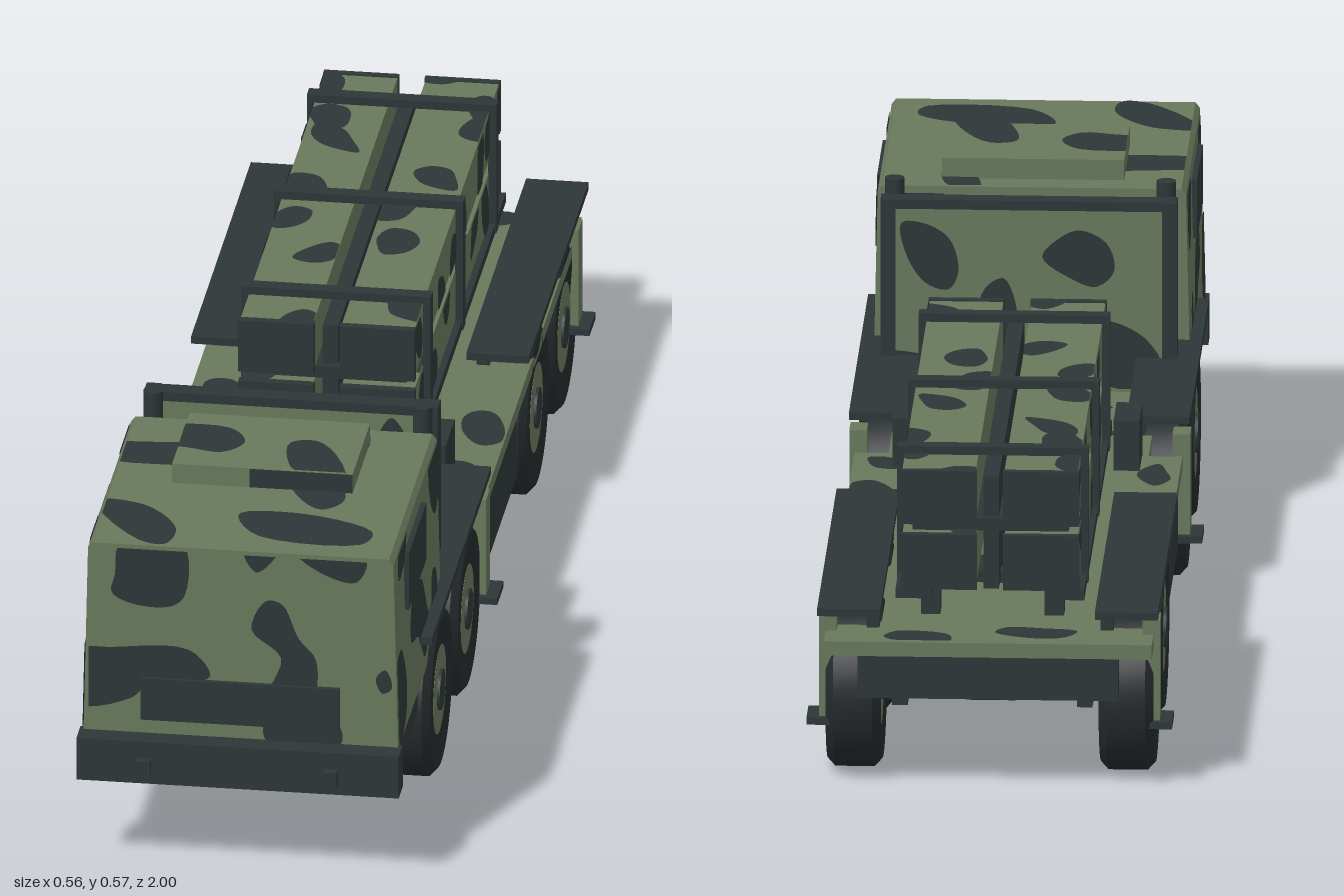
import * as THREE from 'three';
import { toCreasedNormals } from 'three/addons/utils/BufferGeometryUtils.js';

const mat = (name, color, side = THREE.FrontSide) => {
  const m = new THREE.MeshStandardMaterial({ color, side });
  m.name = name;
  return m;
};

export function createModel() {
  const root = new THREE.Group();
  root.name = 'cargoTruck';
  const green = mat('fieldGreen', 0x69785c);
  const dark = mat('camoDark', 0x2d3637, THREE.DoubleSide);
  const rubber = mat('tyreRubber', 0x252a2c);

  const add = (name, geo, m, x = 0, y = 0, z = 0) => {
    const mesh = new THREE.Mesh(geo, m);
    mesh.name = name;
    mesh.position.set(x, y, z);
    root.add(mesh);
    return mesh;
  };
  // Box given by its limits on each axis
  const box = (name, m, x0, x1, y0, y1, z0, z1) =>
    add(name, new THREE.BoxGeometry(x1 - x0, y1 - y0, z1 - z0), m,
      (x0 + x1) / 2, (y0 + y1) / 2, (z0 + z1) / 2);
  // The same box on both sides
  const pair = (name, m, x0, x1, ...rest) => {
    box(name + 'Left', m, x0, x1, ...rest);
    box(name + 'Right', m, -x1, -x0, ...rest);
  };
  const rod = (name, m, r, len, x, y, z, alongX = false) => {
    const g = new THREE.CylinderGeometry(r, r, len, 16);
    if (alongX) g.rotateZ(Math.PI / 2);
    return add(name, g, m, x, y, z);
  };

  // Flat camouflage patch: a closed curve on an axis plane, clamped to a rectangle
  const patch = (axis, at, rect, pts) => {
    const curve = new THREE.CatmullRomCurve3(
      pts.map(([u, v]) => new THREE.Vector3(u, v, 0)), true, 'centripetal');
    const outline = curve.getPoints(pts.length * 5).slice(0, -1).map(p => new THREE.Vector2(
      THREE.MathUtils.clamp(p.x, rect[0], rect[1]), THREE.MathUtils.clamp(p.y, rect[2], rect[3])));
    const g = new THREE.ShapeGeometry(new THREE.Shape(outline));
    const [X, Y, Z] = [[1, 0, 0], [0, 1, 0], [0, 0, 1]].map(a => new THREE.Vector3(...a));
    const [u, v] = { x: [Z, Y], y: [X, Z], z: [X, Y] }[axis];
    g.applyMatrix4(new THREE.Matrix4().makeBasis(u, v, u.clone().cross(v)));
    const mesh = add('camoPatch', g, dark);
    mesh.position[axis] = at;
    return mesh;
  };
  let seed = 7;
  const rnd = () => (seed = (seed * 16807) % 2147483647) / 2147483647;
  // Slanted irregular patch around a centre
  const blob = (axis, at, rect, cu, cv, ru, rv) => {
    const lean = (rnd() - 0.5) * 1.2;
    const pts = Array.from({ length: 7 }, (_, i) => {
      const a = i / 7 * Math.PI * 2, k = 0.75 + rnd() * 0.5;
      return [cu + ru * k * (Math.cos(a) + lean * Math.sin(a)), cv + rv * k * Math.sin(a)];
    });
    return patch(axis, at, rect, pts);
  };

  // Cab shell, slightly narrower at the roof
  const cab = new THREE.Shape([[-0.244, 0.22], [0.244, 0.22], [0.237, 0.532], [0.23, 0.541],
    [-0.23, 0.541], [-0.237, 0.532]].map(p => new THREE.Vector2(...p)));
  add('cab', new THREE.ExtrudeGeometry(cab, { depth: 0.47, bevelEnabled: false }), green, 0, 0, 0.475);
  box('roofHatch', green, -0.14, 0.14, 0.54, 0.573, 0.52, 0.71);
  box('frontPanel', dark, -0.154, 0.154, 0.25, 0.32, 0.94, 0.953);
  pair('sideWindow', dark, 0.23, 0.246, 0.41, 0.505, 0.65, 0.84);
  box('cabFloor', dark, -0.235, 0.235, 0.205, 0.222, 0.475, 0.94);
  pair('cabSill', dark, 0.18, 0.235, 0.16, 0.22, 0.67, 0.94);
  box('frontBumper', dark, -0.25, 0.25, 0.155, 0.225, 0.935, 0.98);
  pair('towHook', dark, 0.134, 0.156, 0.173, 0.198, 0.98, 0.995);

  // Camouflage on the cab front
  [
    [[-.185, .55], [-.09, .55], [-.087, .46], [-.11, .441], [-.17, .443], [-.2, .46], [-.195, .49]],
    [[.005, .54], [.055, .54], [.025, .507]],
    [[.09, .54], [.195, .54], [.18, .5], [.13, .51]],
    [[-.25, .36], [-.2, .367], [-.08, .37], [-.047, .33], [-.06, .318], [-.15, .3], [-.17, .283], [-.25, .268]],
    [[.04, .46], [.065, .455], [.09, .4], [.117, .365], [.11, .3], [.045, .3], [.063, .365], [.017, .41]],
    [[.21, .34], [.225, .355], [.235, .325], [.22, .315]],
    [[.04, .26], [.15, .26], [.155, .225], [.04, .225]],
  ].forEach(p => patch('z', 0.947, [-0.236, 0.236, 0.225, 0.535], p));

  // Camouflage on the cab roof, hatch and hatch front
  [
    [[-.25, .58], [-.2, .57], [-.07, .57], [-.04, .62], [-.07, .66], [-.13, .65], [-.25, .64]],
    [[.03, .61], [.07, .6], [.12, .68], [.13, .75], [.1, .78], [.05, .72]],
    [[-.02, .81], [.08, .8], [.19, .85], [.18, .9], [.02, .89]],
    [[-.25, .79], [-.17, .8], [-.11, .88], [-.12, .94], [-.16, .93]],
    [[.08, .46], [.12, .46], [.14, .55], [.11, .58]],
  ].forEach((p, i) => {
    patch('y', 0.543, [-0.23, 0.23, 0.476, 0.944], p);
    if (i < 2) patch('y', 0.575, [-0.14, 0.14, 0.52, 0.71], p);
  });
  patch('z', 0.712, [-0.02, 0.14, 0.542, 0.573], [[-.04, .5], [.2, .5], [.2, .6], [-.04, .6]]);

  // Camouflage on the cab sides, leaning with the taper
  for (const s of [-1, 1]) {
    [
      [[.48, .54], [.58, .55], [.57, .47], [.52, .43], [.48, .46]],
      [[.68, .39], [.78, .4], [.8, .34], [.72, .31], [.66, .25], [.61, .28], [.64, .34]],
      [[.95, .36], [.9, .37], [.85, .29], [.87, .24], [.95, .23]],
      [[.9, .55], [.82, .54], [.84, .5], [.91, .49]],
      [[.53, .34], [.57, .35], [.58, .29], [.52, .27]],
    ].forEach(p => {
      const m = patch('x', 0, [0.477, 0.943, 0.225, 0.531], p);
      m.rotation.z = s * 0.0224;
      m.position.x = s * 0.251;
    });
  }
  [[-.14, .46, .05, .05], [.05, .38, .05, .07], [.17, .5, .04, .05]].forEach(a =>
    blob('z', 0.473, [-0.236, 0.236, 0.23, 0.53], ...a));

  // Bulkhead, its frame and the stacks behind the cab
  box('bulkhead', green, -0.215, 0.215, 0.245, 0.54, 0.375, 0.395);
  box('bulkheadRail', dark, -0.225, 0.225, 0.535, 0.55, 0.37, 0.4);
  pair('bulkheadPost', dark, 0.205, 0.228, 0.245, 0.55, 0.368, 0.402);
  [[-.13, .3, .06, .06], [-.08, .46, .05, .05], [.05, .35, .035, .08], [.15, .46, .04, .06], [.16, .28, .05, .03]]
    .forEach(a => {
      blob('z', 0.373, [-0.205, 0.205, 0.25, 0.534], ...a);
      blob('z', 0.397, [-0.205, 0.205, 0.25, 0.534], ...a);
    });
  for (const s of [-1, 1]) rod('stack', dark, 0.015, 0.345, s * 0.209, 0.395, 0.431);
  rod('exhaustPipe', dark, 0.013, 0.2, -0.15, 0.143, 0.42);

  // Chassis and decks
  pair('chassisRail', dark, 0.075, 0.115, 0.155, 0.225, -0.98, 0.94);
  for (const z of [0.8, 0.53, 0.23, 0.05, -0.2, -0.38, -0.67, -0.96])
    box('crossMember', dark, -0.09, 0.09, 0.165, 0.21, z - 0.02, z + 0.02);
  box('frontDeck', green, -0.2, 0.2, 0.22, 0.243, 0.02, 0.41);
  box('rearDeck', green, -0.252, 0.252, 0.222, 0.245, -0.99, 0.03);
  box('rearBumper', dark, -0.2, 0.2, 0.155, 0.222, -0.99, -0.955);
  [[-.08, .12, .05, .06], [.07, .2, .05, .05], [-.05, .3, .07, .035], [.12, .34, .04, .04]].forEach(a =>
    blob('y', 0.247, [-0.2, 0.2, 0.04, 0.37], ...a));
  [[-.21, -.08, .03, .05], [.21, -.2, .03, .06], [-.2, -.28, .03, .04], [.2, -.03, .03, .03],
    [-.08, -.94, .06, .03], [.1, -.97, .05, .04], [0, -.6, .07, .08]].forEach(a =>
    blob('y', 0.248, [-0.25, 0.25, -0.988, 0.025], ...a));

  // Side lockers with dark doors
  pair('locker', green, 0.125, 0.24, 0.1, 0.222, -0.335, 0.035);
  pair('lockerDoor', dark, 0.238, 0.246, 0.105, 0.22, -0.33, 0.01);
  pair('lockerBase', dark, 0.125, 0.238, 0.097, 0.102, -0.333, 0.033);

  // Mudguards, their green brackets and steps
  pair('frontMudguard', dark, 0.165, 0.262, 0.288, 0.3, 0.06, 0.7);
  pair('rearMudguard', dark, 0.165, 0.262, 0.288, 0.3, -1, -0.35);
  for (const z of [0.093, -0.91]) {
    pair('mudguardBracket', green, 0.235, 0.262, 0.105, 0.268, z - 0.022, z + 0.022);
    pair('step', dark, 0.225, 0.281, 0.097, 0.108, z - 0.033, z + 0.033);
  }
  for (const z of [0.16, -0.44, -0.9])
    pair('mudguardStay', dark, 0.17, 0.19, 0.24, 0.29, z - 0.012, z + 0.012);

  // Axles and eight wheels
  const tyre = toCreasedNormals(new THREE.LatheGeometry([[0.06, -0.038], [0.095, -0.042],
    [0.122, -0.042], [0.135, -0.03], [0.135, 0.03], [0.122, 0.042], [0.095, 0.042], [0.06, 0.038]]
    .map(p => new THREE.Vector2(...p)), 36), 0.5).rotateZ(Math.PI / 2);
  for (const z of [0.53, 0.23, -0.52, -0.82]) {
    rod('axle', dark, 0.018, 0.36, 0, 0.136, z, true);
    rod('differential', dark, 0.033, 0.07, 0, 0.138, z, true);
    for (const s of [-1, 1]) {
      add('tyre', tyre, rubber, s * 0.21, 0.136, z);
      const rim = rod('rim', green, 0.07, 0.079, s * 0.21, 0.136, z, true);
      rim.geometry = new THREE.CylinderGeometry(0.07, 0.07, 0.079, 28).rotateZ(Math.PI / 2);
      rod('hub', dark, 0.032, 0.088, s * 0.21, 0.136, z, true);
      box('springBracket', dark, s * 0.142 - 0.012, s * 0.142 + 0.012, 0.1, 0.16, z - 0.02, z + 0.02);
    }
  }

  // Four long containers stacked two by two
  const layers = [
    { y0: 0.312, y1: 0.396, spots: [-0.06, -0.2, -0.33, -0.5, -0.64, -0.75, -0.87] },
    { y0: 0.416, y1: 0.498, spots: [-0.03, -0.28, -0.4, -0.52, -0.7, -0.78, -0.9] },
  ];
  for (const { y0, y1, spots } of layers) {
    pair('container', green, 0.022, 0.135, y0, y1, -0.91, 0);
    pair('containerFrontCap', dark, 0.02, 0.137, y0 - 0.002, y1 + 0.002, 0, 0.014);
    pair('containerRearCap', dark, 0.02, 0.137, y0 - 0.002, y1 + 0.002, -0.922, -0.91);
    for (const s of [-1, 1]) {
      spots.forEach(z => blob('x', s * 0.137, [-0.91, 0, y0, y1], z, y0 + rnd() * 0.085, 0.034, 0.05));
      spots.forEach(z => blob('y', y1 + 0.002, s > 0 ? [0.022, 0.135, -0.91, 0] : [-0.135, -0.022, -0.91, 0],
        s * (0.03 + rnd() * 0.1), z - s * 0.03, 0.035, 0.045));
    }
  }
  box('containerSpacer', dark, -0.12, 0.12, 0.396, 0.416, -0.89, -0.02);
  pair('cradleRail', dark, 0.09, 0.145, 0.295, 0.311, -0.92, 0);
  box('centreRail', dark, -0.012, 0.012, 0.3, 0.48, -0.88, -0.03);

  // Clamping frames around the containers
  for (const z of [-0.1, -0.455, -0.815]) {
    pair('clampPost', dark, 0.134, 0.147, 0.295, 0.51, z - 0.012, z + 0.012);
    box('clampTop', dark, -0.147, 0.147, 0.498, 0.511, z - 0.012, z + 0.012);
    box('clampBase', dark, -0.147, 0.147, 0.295, 0.313, z - 0.012, z + 0.012);
    pair('clampFoot', dark, 0.08, 0.11, 0.244, 0.297, z - 0.02, z + 0.02);
  }
  pair('cradlePivot', dark, 0.15, 0.19, 0.243, 0.325, -0.05, 0.05);

  return root;
}
